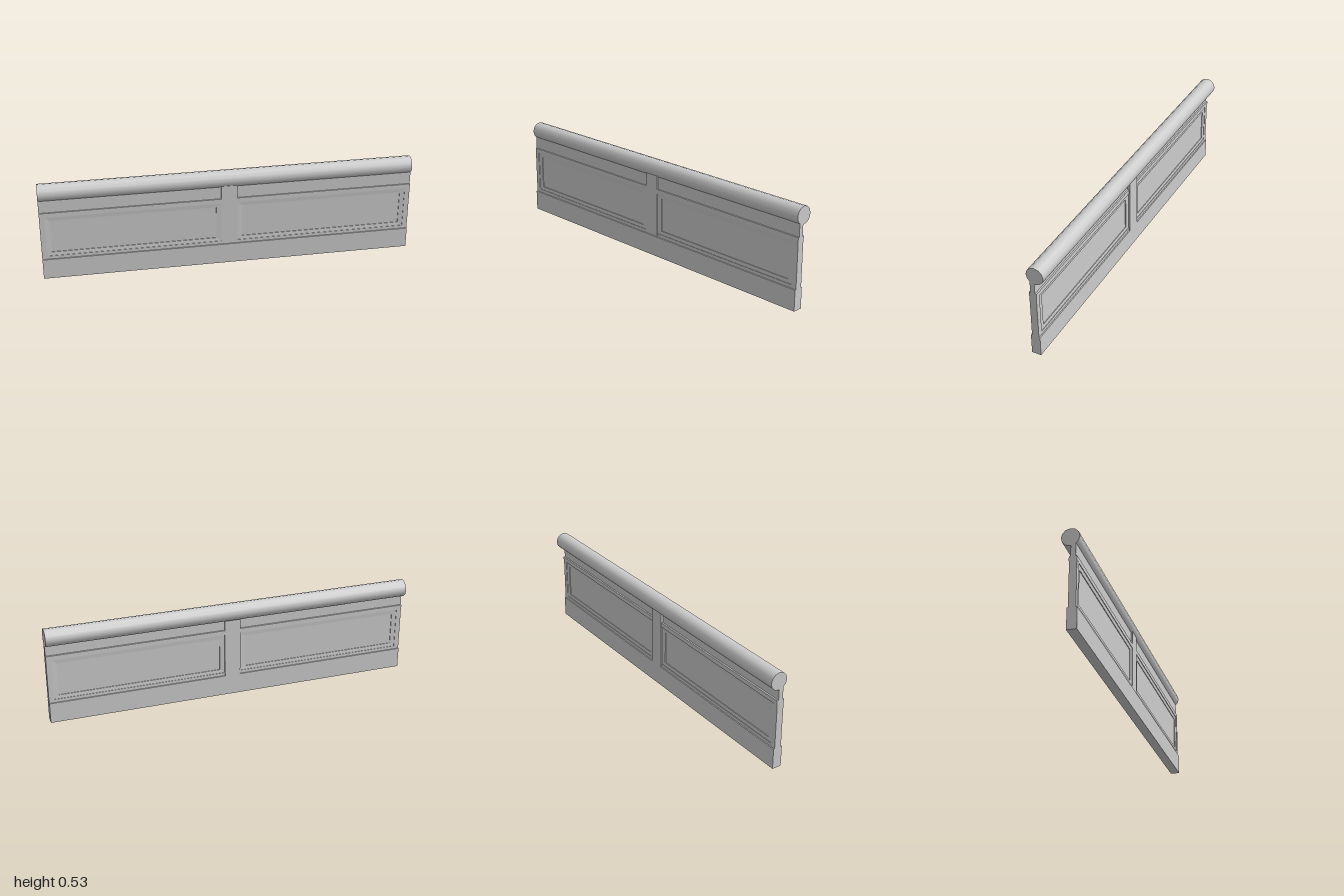
import * as THREE from 'three';

const MID = 0.0155; // middle of the wall's thickness
const material = new THREE.MeshStandardMaterial({ color: 0xcccccc });

function add(parent, name, geometry) {
  const mesh = new THREE.Mesh(geometry, material);
  mesh.name = name;
  parent.add(mesh);
  return mesh;
}

// Box given by its limits on each axis
function box(x0, x1, y0, y1, z0, z1) {
  return new THREE.BoxGeometry(x1 - x0, y1 - y0, z1 - z0)
    .translate((x0 + x1) / 2, (y0 + y1) / 2, (z0 + z1) / 2);
}

// Joins rectangular rings [x0, x1, y0, y1, z] and caps the last one
function ringSurface(rings) {
  const corners = rings.map(([x0, x1, y0, y1, z]) =>
    [[x0, y0, z], [x1, y0, z], [x1, y1, z], [x0, y1, z]]);
  const positions = [];
  const quad = (a, b, c, d) => positions.push(...a, ...b, ...c, ...a, ...c, ...d);
  for (let i = 0; i + 1 < corners.length; i++) {
    const p = corners[i], q = corners[i + 1];
    for (let k = 0; k < 4; k++) {
      const n = (k + 1) % 4;
      quad(p[k], p[n], q[n], q[k]);
    }
  }
  quad(...corners[corners.length - 1]);
  const geometry = new THREE.BufferGeometry();
  geometry.setAttribute('position', new THREE.Float32BufferAttribute(positions, 3));
  geometry.computeVertexNormals();
  return geometry;
}

// One half-thickness bay with a sunken, bevelled panel; side is +1 or -1 in x
function panelFace(side) {
  const span = (a, b) => (side > 0 ? [a, b] : [-b, -a]);
  const bay = [...span(0.04, 1), 0.11, 0.38];
  const outer = [...span(0.043, 0.972), 0.13, 0.355];
  const inner = [...span(0.07, 0.946), 0.15, 0.332];
  return ringSurface([
    [...bay, 0], [...bay, 0.019],
    [...outer, 0.019], [...outer, 0.0165],
    [...inner, 0.0145], [...inner, 0.011],
  ]);
}

export function createModel() {
  const model = new THREE.Group();
  model.name = 'panelledBarrier';

  // Plinth, recessed upper board and central post
  add(model, 'plinth', box(-1, 1, 0, 0.112, -0.0095, 0.041));
  add(model, 'upperBoard', box(-1, 1, 0.37, 0.46, 0.003, 0.028));
  add(model, 'centrePost', box(-0.043, 0.043, 0.1, 0.46, -0.0095, 0.035));

  // Panels, with the back made by turning the front half round
  for (const turn of [0, Math.PI]) {
    const face = new THREE.Group();
    face.name = turn ? 'backPanels' : 'frontPanels';
    face.position.z = MID;
    face.rotation.y = turn;
    for (const side of [1, -1]) {
      add(face, side * (turn ? -1 : 1) > 0 ? 'leftPanel' : 'rightPanel', panelFace(side));
    }
    model.add(face);
  }

  // Thin ledge above the panels
  add(model, 'ledge', box(-1, 1, 0.355, 0.38, MID - 0.021, MID + 0.0195));

  // Round top rail
  const rail = new THREE.CylinderGeometry(0.047, 0.047, 2, 12).rotateZ(Math.PI / 2);
  add(model, 'topRail', rail).position.y = 0.484;

  return model;
}
